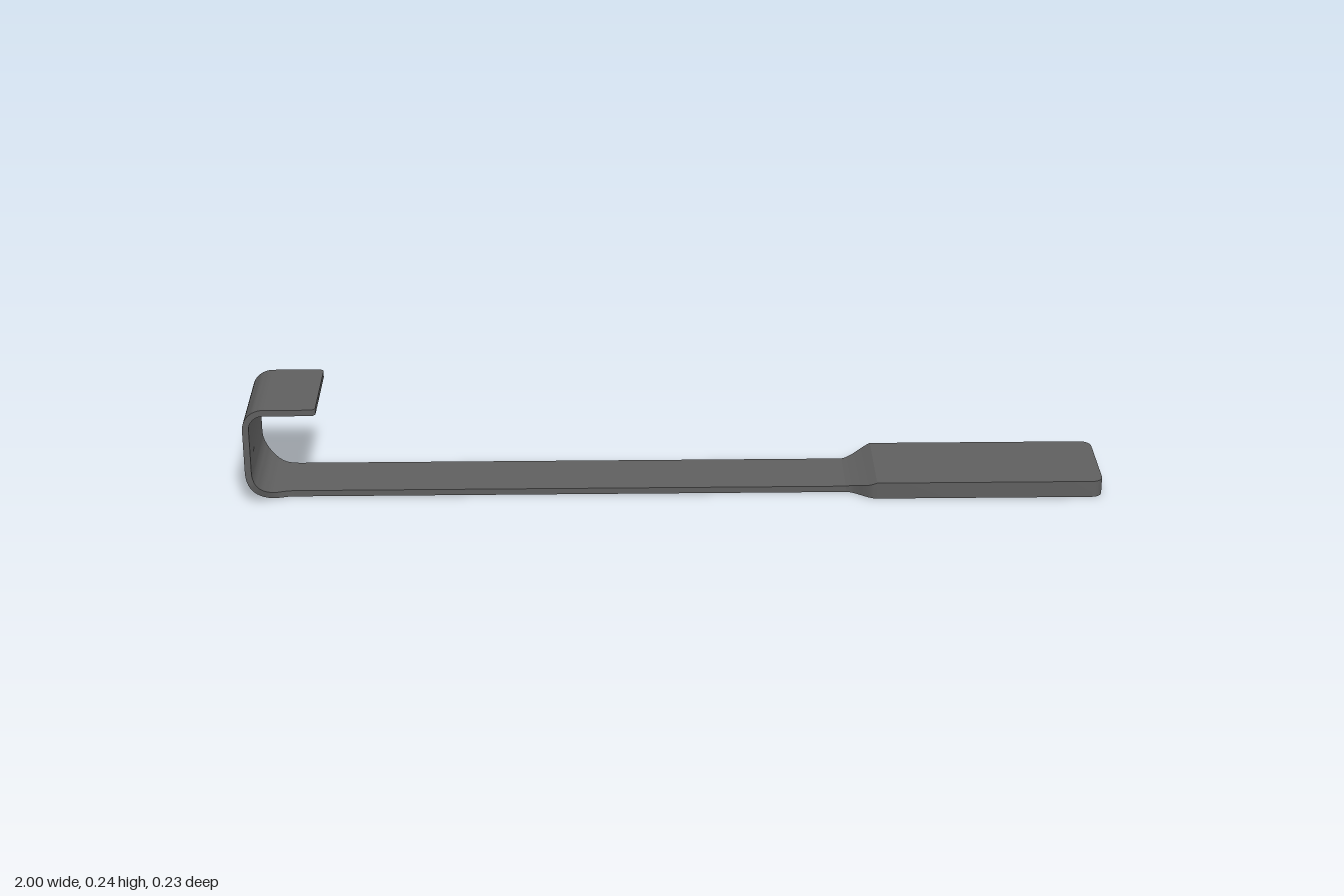
import * as THREE from 'three';
import { toCreasedNormals } from 'three/addons/utils/BufferGeometryUtils.js';

const THICK = 0.015, SHAFT = 0.076, HOOK = 0.117;

// One cross-section: outer point, unit normal to the inner face, thickness, half width, z offset
const section = (x, y, nx, ny, t, half, zc = 0) => [
  [x, y, zc + half], [x, y, zc - half],
  [x + nx * t, y + ny * t, zc - half], [x + nx * t, y + ny * t, zc + half],
];

// Skin a row of four-cornered sections, with both ends capped
function skin(sections) {
  const pos = [];
  const quad = (a, b, c, d) => [a, b, c, a, c, d].forEach((p) => pos.push(...p));
  for (let i = 0; i + 1 < sections.length; i++) {
    const p = sections[i], q = sections[i + 1];
    for (let j = 0; j < 4; j++) {
      const k = (j + 1) % 4;
      quad(p[j], p[k], q[k], q[j]);
    }
  }
  const first = sections[0], last = sections[sections.length - 1];
  quad(first[3], first[2], first[1], first[0]);
  quad(...last);
  const geo = new THREE.BufferGeometry();
  geo.setAttribute('position', new THREE.Float32BufferAttribute(pos, 3));
  return toCreasedNormals(geo, 0.4);
}

const smooth = (t) => THREE.MathUtils.smoothstep(t, 0, 1);

export function createModel() {
  const group = new THREE.Group();
  const metal = new THREE.MeshStandardMaterial({ color: 0x606060 });
  metal.name = 'darkGreyMetal';
  const add = (name, sections) => {
    const mesh = new THREE.Mesh(skin(sections), metal);
    mesh.name = name;
    group.add(mesh);
  };

  // Hook: rounded tip, upper bend, upright and flared lower bend
  const hook = [];
  for (let i = 0; i <= 5; i++) {
    const a = (i / 5) * Math.PI / 2, r = 0.012;
    hook.push(section(-0.83 - r * (1 - Math.cos(a)), 0.24, 0, -1, THICK, HOOK - r * (1 - Math.sin(a))));
  }
  hook.reverse();
  hook.sort((a, b) => b[0][0] - a[0][0]);
  const bend = (cx, cy, r, start, width) => {
    for (let i = 0; i <= 12; i++) {
      const a = start + (i / 12) * Math.PI / 2, c = Math.cos(a), s = Math.sin(a);
      hook.push(section(cx + r * c, cy + r * s, -c, -s, THICK, width(i / 12)));
    }
  };
  const flare = (f) => HOOK - (HOOK - SHAFT) * smooth((f - 0.25) / 0.95);
  bend(-0.95, 0.19, 0.05, Math.PI / 2, () => HOOK);
  bend(-0.92, 0.08, 0.08, Math.PI, flare);
  for (const f of [1.1, 1.2]) hook.push(section(-0.92 + 0.126 * (f - 1), 0, 0, 1, THICK, flare(f)));
  add('hook', hook);

  // Long flat shaft
  add('shaft', [-0.895, 0.4].map((x) => section(x, 0, 0, 1, THICK, SHAFT)));

  // Handle: widening and thickening neck, flat grip, rounded end corners
  const handle = [];
  for (let i = 0; i <= 8; i++) {
    const f = i / 8;
    const t = THICK + 0.025 * Math.min(1, f * (0.6 + 0.4 * f));
    handle.push(section(0.4 + 0.07 * f, 0, 0, 1, t, SHAFT + 0.035 * smooth(f), 0.002 * f));
  }
  for (let i = 0; i <= 6; i++) {
    const a = (i / 6) * Math.PI / 2, r = 0.025;
    handle.push(section(1 - r + r * Math.sin(a), 0, 0, 1, 0.04, 0.111 - r * (1 - Math.cos(a)), 0.002));
  }
  add('handle', handle);

  return group;
}
